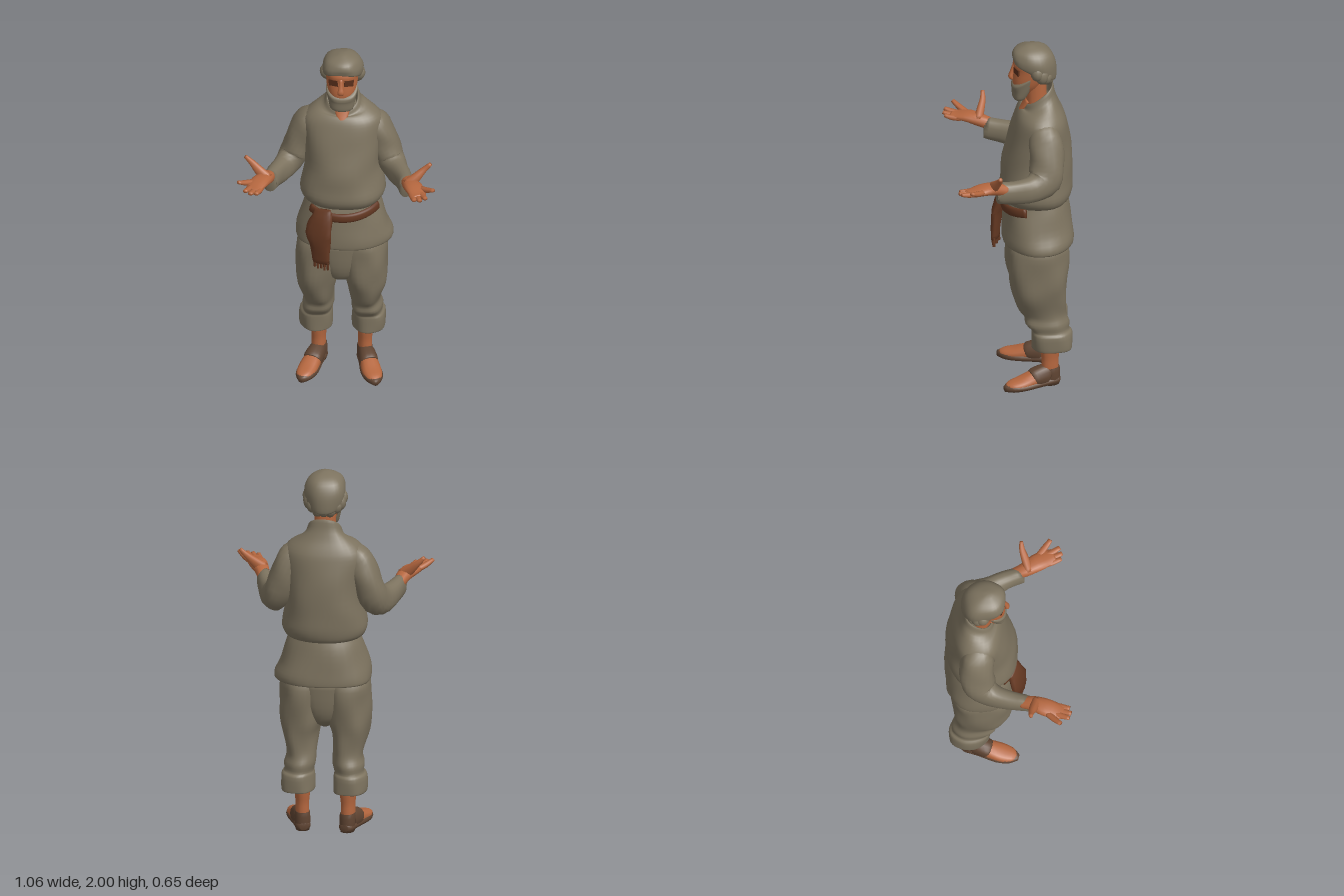
import * as THREE from 'three';

const mat = (name, color, side = THREE.FrontSide) => {
  const m = new THREE.MeshStandardMaterial({ color, side });
  m.name = name;
  return m;
};

// Smoothly interpolates rows of numbers, k steps between each pair
function smoothRows(rows, k) {
  const out = [];
  const at = (i) => rows[Math.min(Math.max(i, 0), rows.length - 1)];
  for (let i = 0; i < rows.length - 1; i++) {
    for (let s = 0; s < k; s++) {
      const t = s / k;
      out.push(rows[i].map((b, c) => {
        const a = at(i - 1)[c], d = at(i + 1)[c], e = at(i + 2)[c];
        return 0.5 * (2 * b + (d - a) * t + (2 * a - 5 * b + 4 * d - e) * t * t + (3 * b - a - 3 * d + e) * t ** 3);
      }));
    }
  }
  out.push(at(rows.length - 1));
  return out;
}

// Rounded-square unit outline
function outline(a, e = 2.25) {
  const f = (v) => Math.sign(v) * Math.abs(v) ** (2 / e);
  return [f(Math.cos(a)), f(Math.sin(a))];
}

// Closed skin over a list of rings, with a fan at both ends
function skinRings(rings) {
  const n = rings[0].length, pos = [], idx = [];
  rings.forEach((r) => r.forEach((p) => pos.push(p.x, p.y, p.z)));
  for (let i = 0; i < rings.length - 1; i++) {
    for (let j = 0; j < n; j++) {
      const a = i * n + j, b = i * n + (j + 1) % n;
      idx.push(a, b, b + n, a, b + n, a + n);
    }
  }
  [0, rings.length - 1].forEach((i) => {
    const c = new THREE.Vector3();
    rings[i].forEach((p) => c.addScaledVector(p, 1 / n));
    const ci = pos.length / 3;
    pos.push(c.x, c.y, c.z);
    for (let j = 0; j < n; j++) {
      const a = i * n + j, b = i * n + (j + 1) % n;
      if (i === 0) idx.push(ci, b, a); else idx.push(ci, a, b);
    }
  });
  const g = new THREE.BufferGeometry();
  g.setAttribute('position', new THREE.Float32BufferAttribute(pos, 3));
  g.setIndex(idx);
  g.computeVertexNormals();
  return g;
}

// Horizontal sections [y, x, z, halfWidth, halfDepth, tilt], with soft cloth folds
function stack(rows, fold = 0, k = 3, n = 32) {
  const full = rows.map((r) => (r.length < 6 ? [...r, 0] : r));
  return skinRings(smoothRows(full, k).map(([y, x, z, rx, rz, tilt]) =>
    Array.from({ length: n }, (_, j) => {
      const a = j / n * Math.PI * 2, [c, s] = outline(a);
      const w = 1 + fold * Math.sin(5 * a + y * 17) + fold * 0.7 * Math.sin(3 * a - y * 29);
      return new THREE.Vector3(x + c * rx * w, y - tilt * s * rz, z - s * rz * w);
    })));
}

// Sections [x, y, z, halfWidth, halfHeight] set across a path
function limb(rows, up = [0, 1, 0], fold = 0, k = 3, n = 14) {
  const pts = smoothRows(rows, k), at = (i) => new THREE.Vector3(...pts[i].slice(0, 3));
  return skinRings(pts.map((p, i) => {
    const T = at(Math.min(i + 1, pts.length - 1)).sub(at(Math.max(i - 1, 0))).normalize();
    const U = new THREE.Vector3(...up).cross(T).normalize(), V = T.clone().cross(U);
    return Array.from({ length: n }, (_, j) => {
      const a = j / n * Math.PI * 2, [c, s] = outline(a);
      const w = 1 + fold * Math.sin(3 * a + i * 1.1);
      return at(i).addScaledVector(U, c * p[3] * w).addScaledVector(V, s * p[4] * w);
    });
  }));
}

export function createModel() {
  const model = new THREE.Group();
  const cloth = mat('cloth and hair', 0x7d735f, THREE.DoubleSide);
  const skin = mat('skin', 0xb5673f);
  const sash = mat('sash brown', 0x643822);
  const leather = mat('shoe leather', 0x5f4432);
  const dark = mat('eye brown', 0x5a301c);
  const add = (name, geo, m, parent = model) => {
    const mesh = new THREE.Mesh(geo, m);
    mesh.name = name;
    parent.add(mesh);
    return mesh;
  };

  // Tunic: skirt, bloused upper part and open collar
  add('tunicSkirt', stack([
    [0.86, 0.018, -0.135, 0.235, 0.175], [0.85, 0.018, -0.135, 0.256, 0.188], [0.885, 0.019, -0.135, 0.258, 0.19],
    [0.95, 0.012, -0.132, 0.238, 0.184], [1.05, 0.012, -0.13, 0.207, 0.172], [1.11, 0.015, -0.13, 0.185, 0.155],
  ], 0.012), cloth);
  add('tunicBody', stack([
    [1.085, 0.015, -0.13, 0.175, 0.152], [1.105, 0.012, -0.127, 0.208, 0.176], [1.15, 0.012, -0.123, 0.228, 0.192],
    [1.22, 0.01, -0.128, 0.218, 0.19], [1.32, 0.01, -0.134, 0.198, 0.187], [1.45, 0.01, -0.143, 0.207, 0.164],
    [1.55, 0.01, -0.148, 0.217, 0.14], [1.6, 0.012, -0.149, 0.198, 0.122], [1.64, 0.01, -0.146, 0.15, 0.1, -0.15],
    [1.668, 0.01, -0.143, 0.104, 0.085, -0.5], [1.702, 0.01, -0.141, 0.088, 0.078, -0.75],
    [1.705, 0.01, -0.141, 0.078, 0.068, -0.75], [1.65, 0.01, -0.143, 0.07, 0.058, -0.55],
  ], 0.01), cloth);
  add('neckSlit', limb([
    [0.012, 1.568, -0.02, 0.006, 0.004], [0.013, 1.6, -0.036, 0.018, 0.007],
    [0.013, 1.635, -0.059, 0.034, 0.01], [0.012, 1.672, -0.08, 0.042, 0.012],
  ], [0, 0, 1]), skin);

  // Belt across the front, with hanging end and fringe
  add('belt', limb(Array.from({ length: 9 }, (_, i) => {
    const a = 0.42 + i * 0.255, c = Math.cos(a);
    return [0.012 + 0.209 * c, 1.05 + 0.034 * c * c, -0.13 + 0.183 * Math.sin(a), 0.012, 0.026];
  })), sash);
  add('sashEnd', limb([
    [-0.085, 1.09, 0.03, 0.05, 0.015], [-0.088, 1.04, 0.05, 0.062, 0.024], [-0.104, 0.955, 0.065, 0.075, 0.026],
    [-0.094, 0.88, 0.076, 0.06, 0.021], [-0.088, 0.785, 0.08, 0.048, 0.016],
  ], [-0.4, 0, 0.9], 0.06), sash);
  for (let i = 0; i < 5; i++) {
    const x = -0.124 + i * 0.018, z = 0.08 + (x + 0.088) * 0.45;
    add('fringe', limb([[x, 0.8, z, 0.008, 0.012], [x, 0.748, z + (i % 2) * 0.01 - 0.005, 0.006, 0.008]], [0, 0, 1], 0, 1, 8), sash);
  }

  // Neck, face and beard
  add('neck', limb([[0.01, 1.6, -0.13, 0.062, 0.06], [0.01, 1.7, -0.128, 0.058, 0.056], [0.01, 1.82, -0.12, 0.06, 0.058]], [0, 0, 1]), skin);
  add('face', stack([
    [1.72, 0.01, -0.07, 0.04, 0.04], [1.76, 0.01, -0.075, 0.065, 0.07], [1.8, 0.01, -0.085, 0.078, 0.084],
    [1.86, 0.01, -0.103, 0.086, 0.095], [1.9, 0.01, -0.107, 0.088, 0.103], [1.95, 0.01, -0.11, 0.07, 0.08],
  ]), skin);
  add('nose', limb([[0.01, 1.885, -0.012, 0.01, 0.01], [0.01, 1.84, 0.002, 0.012, 0.011],
    [0.01, 1.812, 0.009, 0.018, 0.013], [0.01, 1.798, -0.002, 0.012, 0.008]], [0, 0, 1]), skin);
  add('beard', stack([
    [1.68, 0.012, -0.035, 0.035, 0.022], [1.695, 0.012, -0.036, 0.06, 0.036], [1.735, 0.012, -0.046, 0.071, 0.048],
    [1.775, 0.012, -0.056, 0.079, 0.062, -0.4], [1.808, 0.012, -0.063, 0.084, 0.068, -0.6],
    [1.812, 0.012, -0.063, 0.07, 0.055, -0.6],
  ], 0.015), cloth);

  // Cap and hair, with curls round the back from ear to ear
  add('cap', stack([
    [1.855, 0.01, -0.115, 0.085, 0.1, 0.5], [1.855, 0.01, -0.115, 0.1, 0.113, 0.5], [1.88, 0.01, -0.116, 0.108, 0.117, 0.38],
    [1.92, 0.01, -0.115, 0.108, 0.116, 0.2], [1.96, 0.01, -0.11, 0.092, 0.1, 0.08],
    [1.985, 0.012, -0.1, 0.06, 0.066], [2, 0.014, -0.092, 0.015, 0.018],
  ], 0.022), cloth);
  for (let i = 0; i < 9; i++) {
    const a = Math.PI * i / 8, back = Math.sin(a);
    const curl = add('hairCurl', new THREE.SphereGeometry(0.038, 12, 8), cloth);
    curl.position.set(0.01 + 0.086 * Math.cos(a), 1.866 - 0.05 * back, -0.125 - 0.066 * back);
    curl.scale.set(0.95, 1.15 + (i % 2) * 0.15, 0.95);
  }

  for (const s of [1, -1]) {
    const side = s > 0 ? 'left' : 'right';
    const mir = (rows) => rows.map(([x, ...r]) => [x * s + 0.004, ...r]);

    // Deep-set eye
    const eye = add(side + 'Eye', new THREE.BoxGeometry(0.052, 0.036, 0.009), dark);
    eye.position.set(0.01 + s * 0.041, 1.86, -0.018);
    eye.rotation.set(0.05, s * 0.4, s * -0.12);

    // Sleeve from sloping shoulder through bent elbow to cuff
    add(side + 'Sleeve', limb(mir([
      [0.12, 1.585, -0.152, 0.05, 0.045], [0.165, 1.54, -0.155, 0.082, 0.076], [0.202, 1.475, -0.162, 0.091, 0.078],
      [0.232, 1.39, -0.163, 0.092, 0.077], [0.262, 1.312, -0.145, 0.09, 0.075], [0.302, 1.283, -0.08, 0.074, 0.058],
      [0.342, 1.29, 0.02, 0.064, 0.046], [0.364, 1.3, 0.108, 0.058, 0.038], [0.363, 1.3, 0.1, 0.03, 0.025],
    ]), [1, 0, 0], 0.03, 3, 20), cloth);

    // Open hand, palm up
    const hand = new THREE.Group();
    hand.name = side + 'Hand';
    model.add(hand);
    add('palm', limb(mir([
      [0.362, 1.315, 0.06, 0.03, 0.03], [0.378, 1.338, 0.125, 0.039, 0.032], [0.408, 1.352, 0.188, 0.05, 0.026],
      [0.434, 1.351, 0.25, 0.045, 0.016], [0.447, 1.353, 0.282, 0.036, 0.011],
    ])), skin, hand);
    const fingers = [
      [0.397, 1.347, 0.235, 0.423, 1.355, 0.32], [0.422, 1.348, 0.24, 0.453, 1.358, 0.326],
      [0.445, 1.351, 0.235, 0.482, 1.366, 0.315], [0.447, 1.355, 0.2, 0.52, 1.389, 0.267],
    ];
    for (const [x, y, z, u, v, w] of fingers) {
      add('finger', limb(mir([[x, y, z, 0.017, 0.014], [(x + u) / 2, (y + v) / 2 - 0.004, (z + w) / 2, 0.017, 0.014],
        [u, v, w, 0.012, 0.009]]), [0, 1, 0], 0, 3, 8), skin, hand);
    }
    add('thumb', limb(mir([[0.375, 1.34, 0.145, 0.036, 0.025], [0.42, 1.382, 0.128, 0.026, 0.022],
      [0.46, 1.422, 0.113, 0.016, 0.016], [0.494, 1.455, 0.11, 0.01, 0.01]]), [0, 0, 1], 0, 3, 10), skin, hand);

    // Baggy trouser leg with rolled cuff
    add(side + 'TrouserLeg', stack([
      [0.26, 0.135, -0.2, 0.06, 0.075], [0.238, 0.138, -0.2, 0.084, 0.104], [0.255, 0.14, -0.2, 0.09, 0.108],
      [0.325, 0.14, -0.196, 0.088, 0.108], [0.345, 0.134, -0.188, 0.078, 0.1], [0.385, 0.13, -0.172, 0.084, 0.118],
      [0.425, 0.124, -0.165, 0.079, 0.113], [0.47, 0.126, -0.148, 0.083, 0.125], [0.55, 0.133, -0.133, 0.1, 0.141],
      [0.63, 0.127, -0.13, 0.117, 0.153], [0.75, 0.12, -0.13, 0.124, 0.159], [0.84, 0.117, -0.132, 0.12, 0.155],
      [0.9, 0.11, -0.132, 0.095, 0.12],
    ].map(([y, x, ...r]) => [y, x * s + 0.006, ...r]), 0.022), cloth);

    // Bare ankle and foot in a low shoe, turned outwards
    const foot = new THREE.Group();
    foot.name = side + 'Foot';
    foot.position.set(s * 0.123 + 0.002, 0, -0.19);
    foot.rotation.y = s * 0.3;
    model.add(foot);
    add('ankle', stack([[0.05, 0, 0, 0.034, 0.045], [0.11, 0, 0, 0.036, 0.047], [0.16, 0, 0, 0.036, 0.047],
      [0.22, 0, 0, 0.042, 0.055], [0.3, 0, 0, 0.05, 0.06]], 0, 3, 16), skin, foot);
    add('footTop', limb([[0, 0.06, -0.03, 0.03, 0.04], [0, 0.062, 0.03, 0.04, 0.054], [0, 0.05, 0.1, 0.049, 0.044],
      [0, 0.038, 0.17, 0.053, 0.031], [0, 0.032, 0.225, 0.041, 0.023], [0, 0.028, 0.254, 0.013, 0.012]]), skin, foot);
    add('shoeSole', limb([[0, 0.03, -0.052, 0.02, 0.02], [0, 0.03, -0.03, 0.04, 0.029], [0, 0.028, 0.05, 0.046, 0.027],
      [0, 0.027, 0.15, 0.058, 0.027], [0, 0.026, 0.22, 0.046, 0.026], [0, 0.022, 0.262, 0.015, 0.016]]), leather, foot);
    add('shoeHeel', stack([[0.004, 0, -0.008, 0.036, 0.042], [0.05, 0, -0.008, 0.042, 0.045],
      [0.105, 0, -0.006, 0.039, 0.046], [0.1, 0, -0.004, 0.03, 0.04]], 0, 2, 16), leather, foot);
    add('shoeStrap', limb([[0, 0.062, 0.01, 0.04, 0.055], [0, 0.064, 0.028, 0.046, 0.06], [0, 0.057, 0.085, 0.051, 0.052],
      [0, 0.053, 0.1, 0.047, 0.044]]), leather, foot);
  }

  // Trouser seat joining the legs
  add('trouserSeat', stack([[0.585, 0.006, -0.13, 0.03, 0.06], [0.63, 0.006, -0.13, 0.09, 0.12],
    [0.72, 0.006, -0.13, 0.15, 0.15], [0.86, 0.006, -0.13, 0.2, 0.158]]), cloth);
  return model;
}
